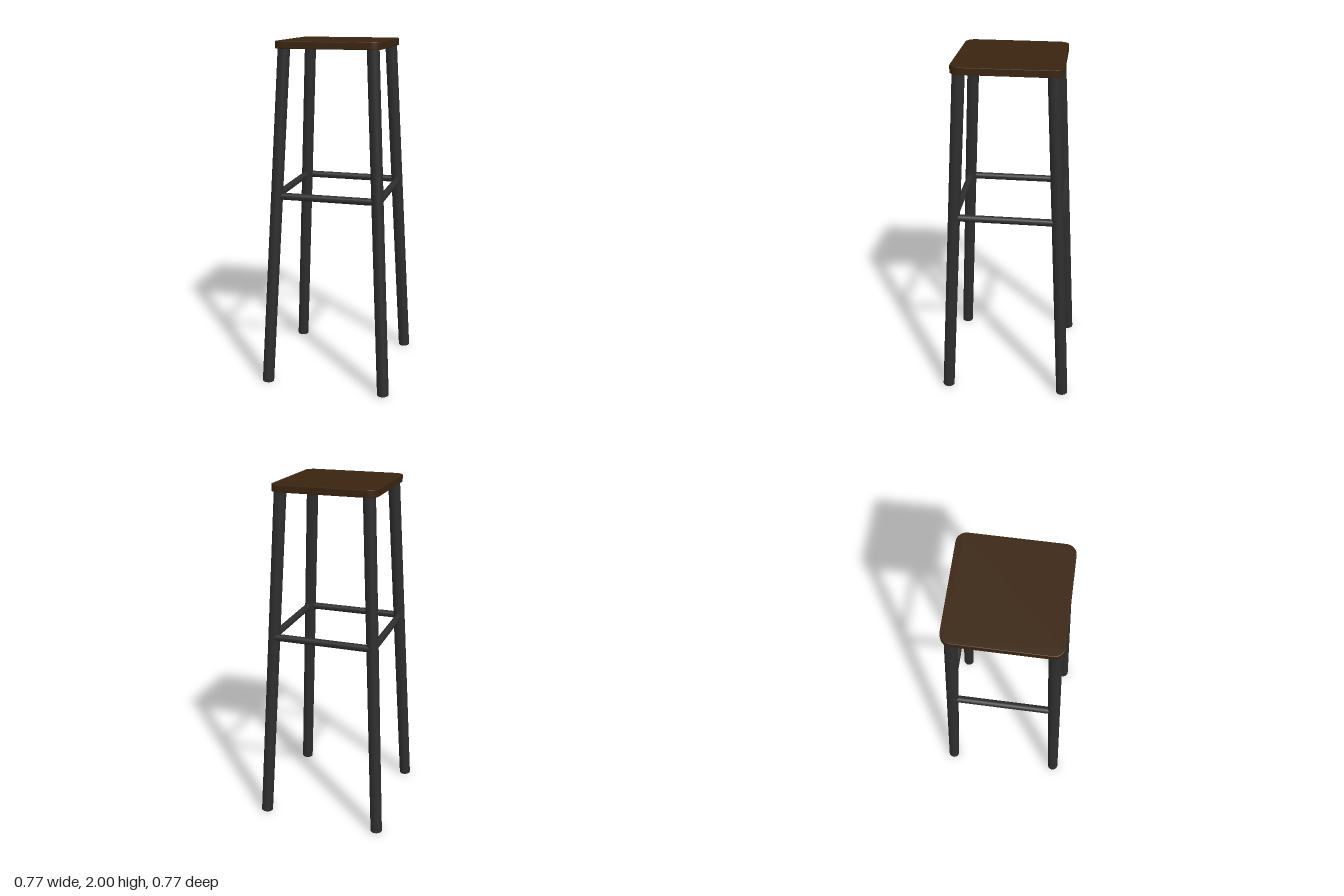
import * as THREE from 'three';

const wood = new THREE.MeshStandardMaterial({ color: 0x3a2410 });
wood.name = 'dark wood';
const metal = new THREE.MeshStandardMaterial({ color: 0x2d2d2d });
metal.name = 'black metal';

// Round bar between two points
function bar(name, a, b, radius) {
  const dir = b.clone().sub(a);
  const mesh = new THREE.Mesh(new THREE.CylinderGeometry(radius, radius, dir.length(), 32), metal);
  mesh.position.copy(a).add(b).multiplyScalar(0.5);
  mesh.quaternion.setFromUnitVectors(new THREE.Vector3(0, 1, 0), dir.normalize());
  mesh.name = name;
  return mesh;
}

// Square board with rounded corners and slightly eased edges
function createSeat() {
  const bevel = 0.003, h = 0.297 - bevel, r = 0.052;
  const shape = new THREE.Shape();
  shape.absarc(h - r, h - r, r, 0, Math.PI / 2);
  shape.absarc(-h + r, h - r, r, Math.PI / 2, Math.PI);
  shape.absarc(-h + r, -h + r, r, Math.PI, Math.PI * 1.5);
  shape.absarc(h - r, -h + r, r, Math.PI * 1.5, Math.PI * 2);
  shape.closePath();
  const geometry = new THREE.ExtrudeGeometry(shape, {
    depth: 0.04 - 2 * bevel, bevelEnabled: true, bevelSize: bevel,
    bevelThickness: bevel, bevelSegments: 2, curveSegments: 12,
  });
  geometry.rotateX(-Math.PI / 2);
  const seat = new THREE.Mesh(geometry, wood);
  seat.position.set(-0.002, 1.96 + bevel, -0.002);
  seat.name = 'seat';
  return seat;
}

export function createModel() {
  const stool = new THREE.Group();
  stool.name = 'barStool';
  stool.add(createSeat());

  // Four splayed legs
  for (const x of [1, -1]) {
    for (const z of [1, -1]) {
      const name = (z > 0 ? 'front' : 'back') + (x > 0 ? 'Left' : 'Right') + 'Leg';
      stool.add(bar(name,
        new THREE.Vector3(x * 0.352, 0.003, z * 0.352),
        new THREE.Vector3(x * 0.248, 1.968, z * 0.248), 0.034));
    }
  }

  // Square of footrest rungs between the legs
  const y = 1.14, e = 0.292, r = 0.02;
  for (const [name, z] of [['frontRung', 0.292], ['backRung', -0.305]]) {
    stool.add(bar(name, new THREE.Vector3(-e, y, z), new THREE.Vector3(e, y, z), r));
  }
  for (const [name, x] of [['leftRung', 0.297], ['rightRung', -0.297]]) {
    stool.add(bar(name, new THREE.Vector3(x, y, -e), new THREE.Vector3(x, y, e), r));
  }
  return stool;
}
